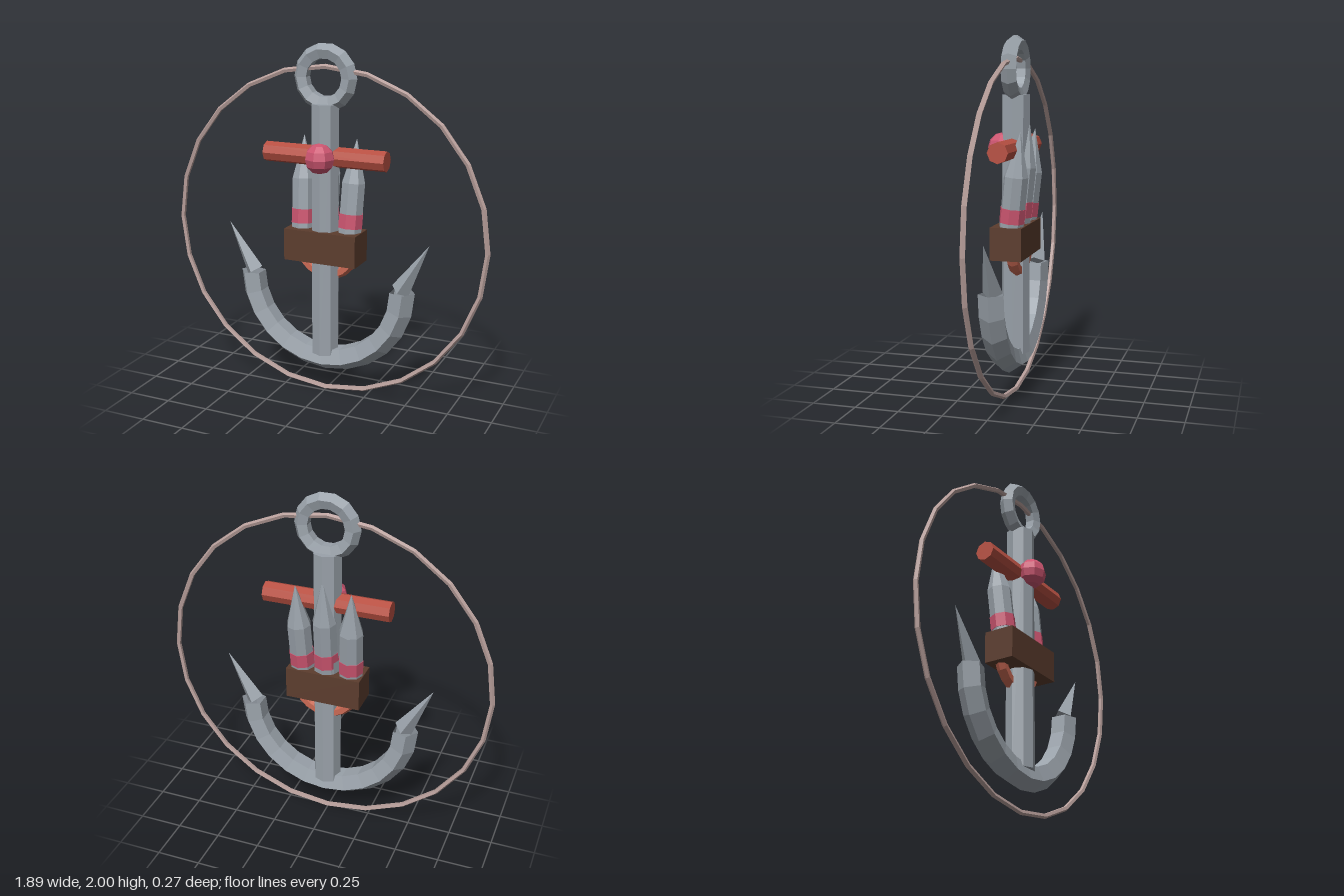
import * as THREE from 'three';

const Z = -0.017; // plane shared by shaft, arms and hoop

export function createModel() {
  const model = new THREE.Group();
  model.name = 'anchor';

  const material = (name, color, side = THREE.FrontSide) => {
    const m = new THREE.MeshStandardMaterial({ color, flatShading: true, side });
    m.name = name;
    return m;
  };
  const steel = material('steel grey', 0x9aa2aa, THREE.DoubleSide);
  const red = material('brick red', 0xb85042);
  const copper = material('copper', 0xcb6a54, THREE.DoubleSide);
  const pink = material('rose pink', 0xcc5570);
  const brown = material('dark brown', 0x5c3d2e);
  const rope = material('pale rope', 0xb89f9b);

  const add = (name, geometry, mat, x, y, z, parent = model) => {
    const mesh = new THREE.Mesh(geometry, mat);
    mesh.name = name;
    mesh.position.set(x, y, z);
    parent.add(mesh);
    return mesh;
  };

  // Thin hoop around everything
  add('hoop', new THREE.TorusGeometry(0.931, 0.0145, 5, 24), rope, 0, 0.947, Z);

  // Shaft and top ring
  add('shaft', new THREE.CylinderGeometry(0.08, 0.08, 1.44, 8), steel, 0, 0.96, Z);
  add('topRing', new THREE.TorusGeometry(0.14, 0.045, 5, 14), steel, 0, 1.82, Z);

  // Crossbar with a ball at its centre
  add('crossbar', new THREE.CylinderGeometry(0.057, 0.057, 0.72, 8), red, 0, 1.39, Z)
    .rotation.z = Math.PI / 2;
  add('ball', new THREE.SphereGeometry(0.085, 8, 6), pink, 0, 1.39, 0.058);

  // Curved arms, lower half of a ring
  add('arms', new THREE.TorusGeometry(0.463, 0.0735, 5, 12, Math.PI), steel, 0, 0.67, Z)
    .rotation.z = Math.PI;

  // Pointed flukes, leaning outward
  const tilt = Math.PI / 6, length = 0.32;
  for (const side of [1, -1]) {
    add(side > 0 ? 'leftFluke' : 'rightFluke', new THREE.ConeGeometry(0.055, length, 4), steel,
      side * (0.451 + Math.sin(tilt) * length / 2), 0.675 + Math.cos(tilt) * length / 2, Z)
      .rotation.z = -side * tilt;
  }

  // Box holding the shells, with a bent pipe below
  add('box', new THREE.BoxGeometry(0.43, 0.18, 0.176), brown, 0, 0.885, Z);
  add('pipe', new THREE.TorusGeometry(0.168, 0.033, 6, 10, Math.PI), copper, 0, 0.875, -0.04)
    .rotation.z = Math.PI;

  // Three shells leaning back, the middle one taller
  for (const i of [-1, 0, 1]) {
    const shell = new THREE.Group();
    shell.name = ['rightShell', 'middleShell', 'leftShell'][i + 1];
    shell.position.set(i * 0.138, 0.85, -0.018);
    shell.rotation.set(-0.105, 0, -i * 0.032);
    shell.scale.y = i === 0 ? 1.1 : 1;
    add('shellBody', new THREE.CylinderGeometry(0.068, 0.068, 0.4, 8), steel, 0, 0.2, 0, shell);
    add('shellTip', new THREE.ConeGeometry(0.068, 0.243, 8), steel, 0, 0.5215, 0, shell);
    add('shellBand', new THREE.CylinderGeometry(0.071, 0.071, 0.08, 8), pink, 0, 0.188, 0, shell);
    model.add(shell);
  }

  return model;
}
